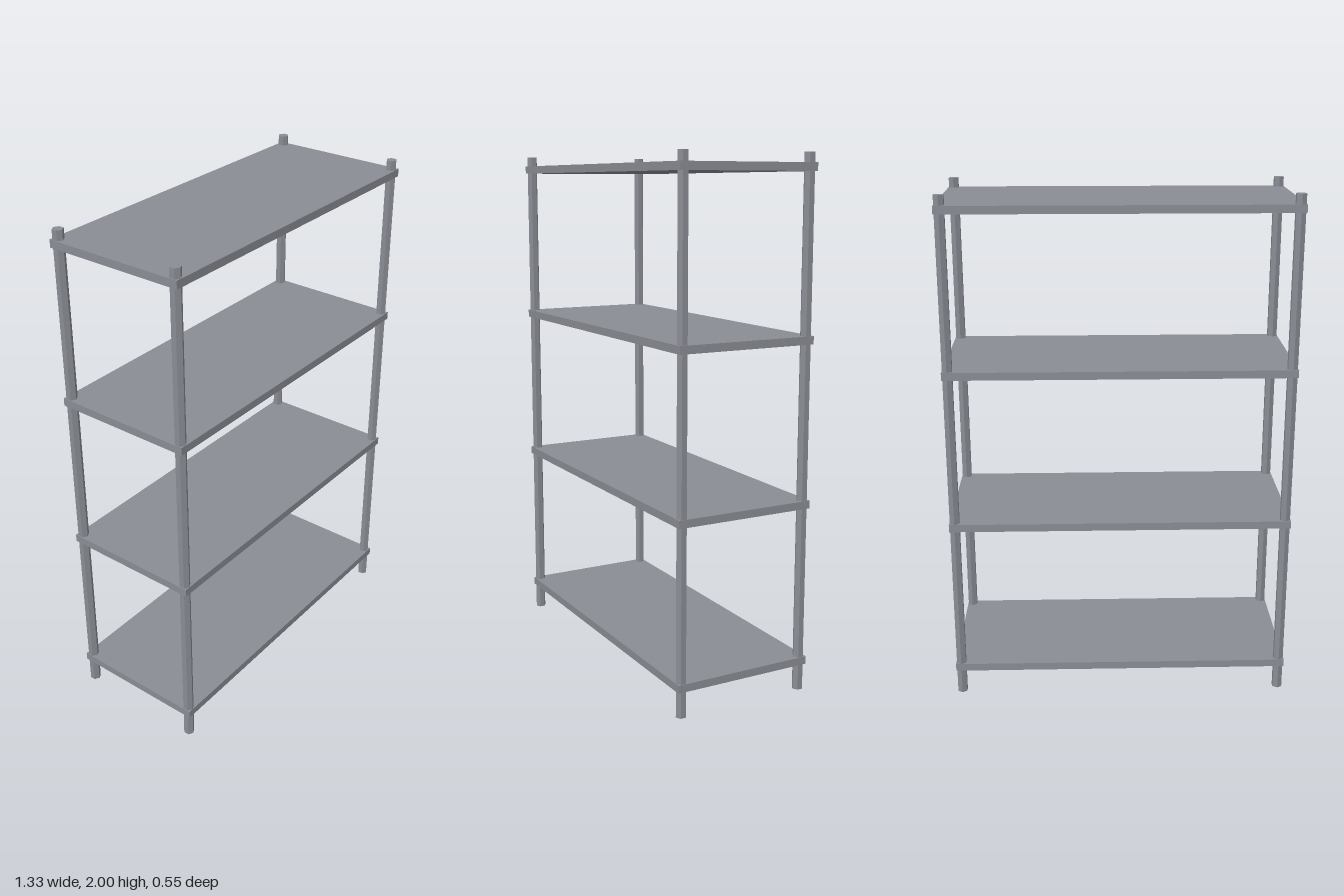
import * as THREE from 'three';

export function createModel() {
  const model = new THREE.Group();
  model.name = 'shelvingUnit';

  const steel = new THREE.MeshStandardMaterial({ color: 0x8a8d95 });
  steel.name = 'grey steel';
  steel.flatShading = true;

  // Four flat shelves, evenly spaced
  const shelfGeometry = new THREE.BoxGeometry(1.33, 0.03, 0.554);
  for (let i = 0; i < 4; i++) {
    const shelf = new THREE.Mesh(shelfGeometry, steel);
    shelf.name = `shelf${i + 1}`;
    shelf.position.y = 0.115 + i * 0.611;
    model.add(shelf);
  }

  // Hexagonal corner posts running through the shelves
  const postGeometry = new THREE.CylinderGeometry(0.021, 0.021, 2, 6);
  for (const [xName, x] of [['left', 1], ['right', -1]]) {
    for (const [zName, z] of [['Front', 1], ['Back', -1]]) {
      const post = new THREE.Mesh(postGeometry, steel);
      post.name = `${xName}${zName}Post`;
      post.position.set(x * 0.644, 1, z * 0.2555);
      model.add(post);
    }
  }

  return model;
}
